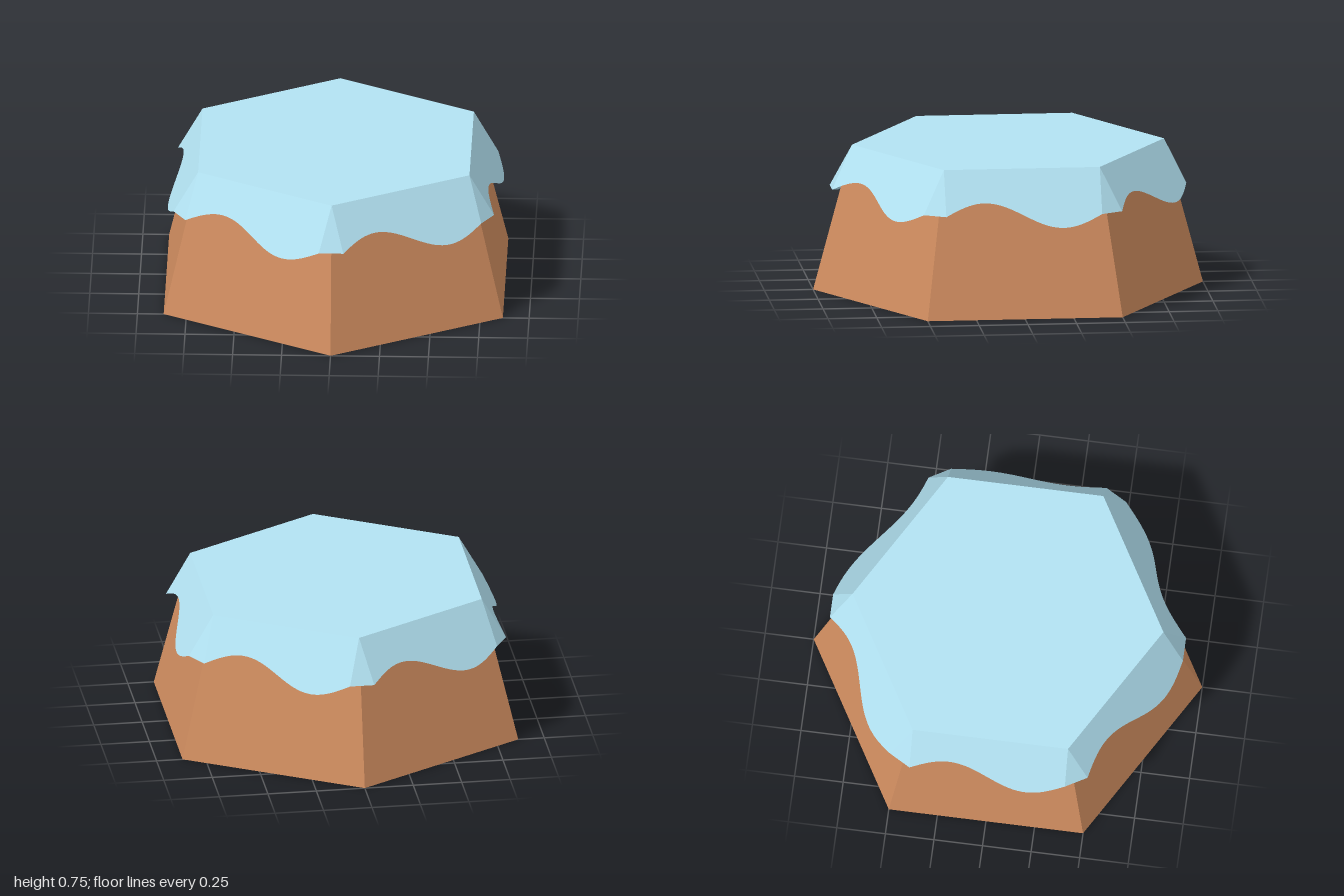
import * as THREE from 'three';

const SIDES = 6, STEP = Math.PI / 3;
const BASE_R = 1, TOP_R = 0.8, TOP_Y = 0.75;
const APOTHEM = TOP_R * Math.cos(STEP / 2);
const DROP = 0.22, WAVE = 0.061, FLARE = 0.57; // icing hang, ripple, outward slope

// One sloping icing panel facing +z, with a rippled lower edge
function flapGeometry() {
  const geo = new THREE.PlaneGeometry(TOP_R, 1, 40, 1);
  const p = geo.attributes.position;
  for (let i = 0; i < p.count; i++) {
    const x = p.getX(i);
    const t = x / TOP_R + 0.5;
    const drop = p.getY(i) > 0 ? 0 : DROP - WAVE * Math.sin(t * Math.PI * 2);
    p.setXYZ(i, x, TOP_Y - drop, APOTHEM + drop * FLARE);
  }
  geo.computeVertexNormals();
  return geo;
}

// Triangle joining two neighbouring panels at the +z corner
function cornerGeometry() {
  const out = DROP * FLARE;
  const x = out * Math.sin(STEP / 2), z = TOP_R + out * Math.cos(STEP / 2);
  const geo = new THREE.BufferGeometry();
  geo.setAttribute('position', new THREE.Float32BufferAttribute(
    [0, TOP_Y, TOP_R, -x, TOP_Y - DROP, z, x, TOP_Y - DROP, z], 3));
  geo.computeVertexNormals();
  return geo;
}

export function createModel() {
  const model = new THREE.Group();
  model.name = 'icedCake';
  const cakeMat = new THREE.MeshStandardMaterial({ color: 0xcf8c5f, flatShading: true });
  const icingMat = new THREE.MeshStandardMaterial({
    color: 0xb2e2f2, flatShading: true, side: THREE.DoubleSide });

  const add = (parent, name, geo, mat) => {
    const mesh = new THREE.Mesh(geo, mat);
    mesh.name = name;
    parent.add(mesh);
    return mesh;
  };

  // Tapered six-sided body, a hair below the icing top
  const bodyH = TOP_Y - 0.003;
  add(model, 'cakeBody', new THREE.CylinderGeometry(TOP_R, BASE_R, bodyH, SIDES), cakeMat)
    .position.y = bodyH / 2;

  // Icing: flat top, six rippled flaps and six corner gussets
  const icing = new THREE.Group();
  icing.name = 'icing';
  model.add(icing);
  const top = new THREE.CircleGeometry(TOP_R, SIDES, Math.PI / 2).rotateX(-Math.PI / 2);
  add(icing, 'icingTop', top, icingMat).position.y = TOP_Y;

  const flap = flapGeometry(), corner = cornerGeometry();
  for (let i = 0; i < SIDES; i++) {
    add(icing, 'icingFlap', flap, icingMat).rotation.y = (i + 0.5) * STEP;
    add(icing, 'icingCorner', corner, icingMat).rotation.y = i * STEP;
  }
  return model;
}
